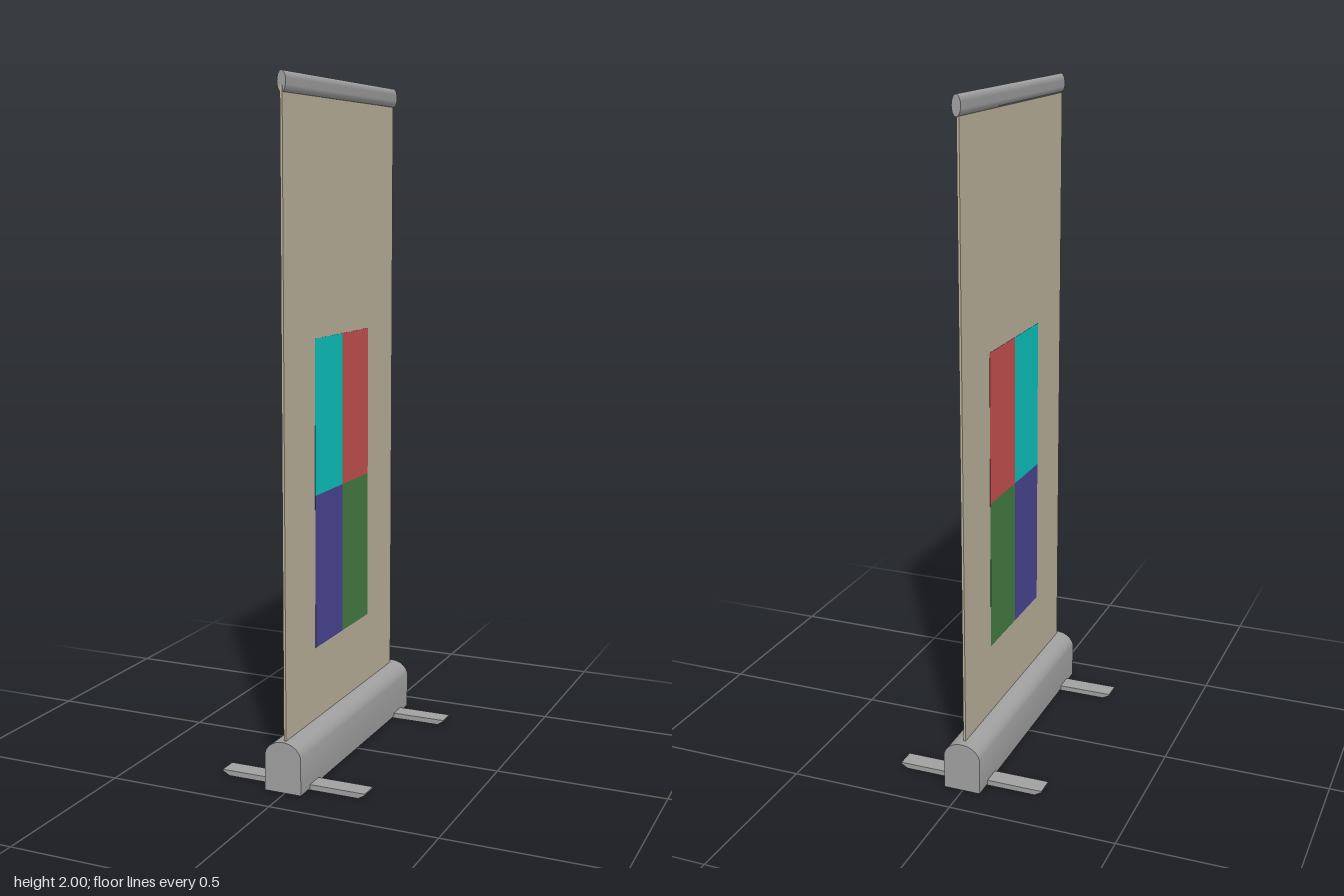
import * as THREE from 'three';
import { toCreasedNormals } from 'three/addons/utils/BufferGeometryUtils.js';

const material = (color) => new THREE.MeshStandardMaterial({ color });

function add(parent, name, geometry, mat, x = 0, y = 0, z = 0) {
  const mesh = new THREE.Mesh(geometry, mat);
  mesh.name = name;
  mesh.position.set(x, y, z);
  parent.add(mesh);
  return mesh;
}

// Extrude an x-y profile along z, centred on z = 0
function bar(shape, length, curveSegments = 5) {
  const g = new THREE.ExtrudeGeometry(shape, { depth: length, bevelEnabled: false, curveSegments });
  g.translate(0, 0, -length / 2);
  return toCreasedNormals(g, 0.7);
}

export function createModel() {
  const model = new THREE.Group();
  model.name = 'rollUpBanner';
  const metal = material(0xa0a0a0);

  // Base housing: straight sides with a rounded top
  const housing = new THREE.Shape();
  housing.moveTo(-0.057, 0.005);
  housing.lineTo(0.055, 0.005);
  housing.lineTo(0.055, 0.115);
  housing.bezierCurveTo(0.05, 0.138, 0.027, 0.154, -0.001, 0.154);
  housing.bezierCurveTo(-0.029, 0.154, -0.052, 0.138, -0.057, 0.115);
  housing.closePath();
  add(model, 'baseHousing', bar(housing, 0.82), metal);

  // Two flat cross feet with undercut ends
  const foot = new THREE.Shape([
    [-0.205, 0], [0.205, 0], [0.224, 0.012], [0.224, 0.016], [-0.226, 0.016], [-0.226, 0.012],
  ].map(([x, y]) => new THREE.Vector2(x, y)));
  for (const side of [1, -1]) {
    add(model, side > 0 ? 'frontFoot' : 'backFoot', bar(foot, 0.058), metal, 0, 0, side * 0.32);
  }

  // Fabric sheet
  add(model, 'bannerSheet', new THREE.BoxGeometry(0.007, 1.82, 0.782), material(0xbfb59f), 0, 1.05, 0.006);

  // Four coloured panels, visible on both faces
  const panels = [
    ['cyanPanel', 0x0cc8c2, 0.101, 1.047],
    ['redPanel', 0xcc5252, -0.092, 1.047],
    ['purplePanel', 0x4c4797, 0.101, 0.595],
    ['greenPanel', 0x468046, -0.092, 0.595],
  ];
  for (const [name, color, z, y] of panels) {
    add(model, name, new THREE.BoxGeometry(0.0085, 0.452, 0.193), material(color), 0, y, z);
  }

  // Oval top rail
  const oval = new THREE.Shape();
  oval.absellipse(0, 0, 0.013, 0.029, 0, Math.PI * 2);
  add(model, 'topRail', bar(oval, 0.79, 10), metal, 0, 1.971, 0);

  return model;
}
